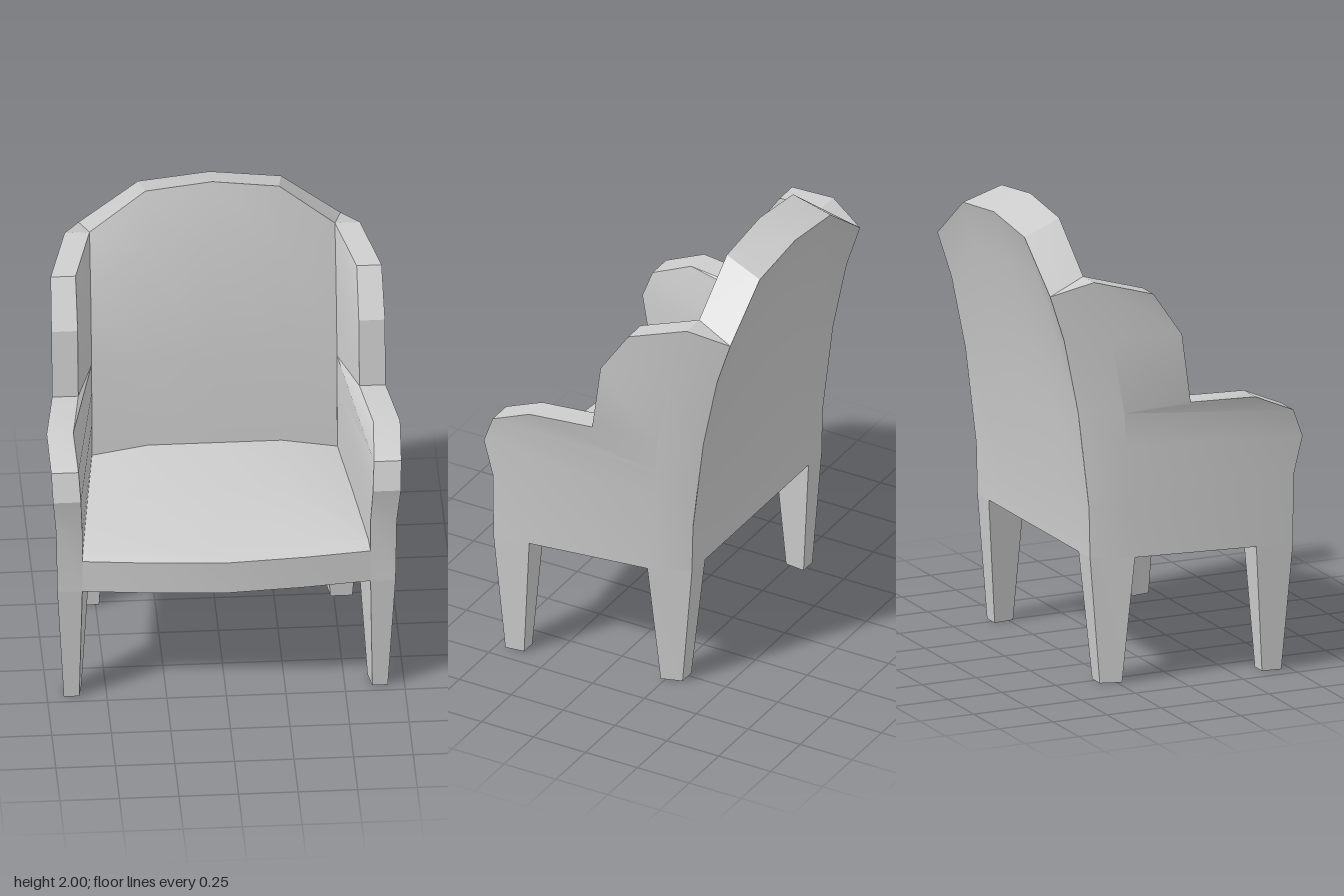
import * as THREE from 'three';
import { toCreasedNormals } from 'three/addons/utils/BufferGeometryUtils.js';

const material = new THREE.MeshStandardMaterial({ color: 0xcccccc });

// Skin a surface over rows of [x, y, z] points, skipping collapsed triangles
function skin(name, rows) {
  const pos = [];
  const tri = (...pts) => {
    const [a, b, c] = pts.map((p) => new THREE.Vector3(...p));
    if (b.clone().sub(a).cross(c.clone().sub(a)).length() > 1e-7) pos.push(...pts.flat());
  };
  for (let i = 0; i < rows.length - 1; i++) {
    for (let j = 0; j < rows[i].length - 1; j++) {
      const a = rows[i][j], b = rows[i][j + 1];
      const c = rows[i + 1][j + 1], d = rows[i + 1][j];
      tri(a, d, c);
      tri(a, c, b);
    }
  }
  const geometry = new THREE.BufferGeometry();
  geometry.setAttribute('position', new THREE.Float32BufferAttribute(pos, 3));
  const mesh = new THREE.Mesh(toCreasedNormals(geometry, 0.42), material);
  mesh.name = name;
  return mesh;
}

const reversed = (row) => [...row].reverse();
const mirrored = (rows) => rows.map((r) => reversed(r).map(([x, y, z]) => [-x, y, z]));

// Five points across the chair, left to right; y and z are given as [edge, quarter, centre]
const across = (half, y, z) => [1, 0.545, 0, -0.545, -1].map((u, i) => {
  const k = i < 3 ? i : 4 - i;
  return [half * u, y[k], z[k]];
});
const level = (v) => [v, v, v];
const domed = (v) => [v, v + 0.195, v + 0.23];

// Arm and wing: each row runs rear corner, outer side, front outer, front inner, inner corner
// [rear y, rear z, side x, side y, side z, front outer x, front inner x, front y, front z]
const sideRows = [
  [0.55, -0.365, 0.62, 0.55, -0.19, 0.71, 0.605, 0.55, 0.50],
  [0.77, -0.37, 0.63, 0.77, -0.23, 0.715, 0.605, 0.85, 0.50],
  [0.90, -0.385, 0.635, 0.90, -0.235, 0.73, 0.613, 1.02, 0.535],
  [1.05, -0.403, 0.64, 1.05, -0.243, 0.735, 0.62, 1.14, 0.49],
  [1.19, -0.42, 0.645, 1.19, -0.25, 0.742, 0.63, 1.22, 0.31],
  [1.19, -0.42, 0.645, 1.19, -0.25, 0.70, 0.59, 1.22, 0.03],
  [1.51, -0.485, 0.64, 1.52, -0.31, 0.70, 0.59, 1.52, -0.01],
  [1.71, -0.55, 0.62, 1.77, -0.38, 0.695, 0.59, 1.71, -0.14],
].map(([ry, rz, sx, sy, sz, fo, fi, fy, fz]) => [
  [0.55, ry, rz], [sx, sy, sz], [fo, fy, fz], [fi, fy, fz], [0.515, sy, Math.min(sz, -0.23)],
]);
sideRows.push(sideRows[7].map(() => [0.515, 1.77, -0.38])); // closes the wing top

// Tapered leg from four foot corners and four top corners, given as [x, z]
function legRows(foot, top) {
  const ring = (pts, y) => [...pts, pts[0]].map(([x, z]) => [x, y, z]);
  const cx = foot.reduce((s, p) => s + p[0], 0) / 4;
  const cz = foot.reduce((s, p) => s + p[1], 0) / 4;
  return [ring(foot.map(() => [cx, cz]), 0), ring(foot, 0), ring(top, 0.55)];
}
const frontLeg = legRows(
  [[0.67, 0.375], [0.68, 0.46], [0.615, 0.46], [0.60, 0.375]],
  [[0.689, 0.34], [0.71, 0.50], [0.605, 0.50], [0.565, 0.34]]);
const backLeg = legRows(
  [[0.55, -0.32], [0.578, -0.23], [0.485, -0.23], [0.475, -0.32]],
  [[0.55, -0.365], [0.62, -0.19], [0.458, -0.19], [0.438, -0.365]]);

export function createModel() {
  const chair = new THREE.Group();
  chair.name = 'wingChair';

  // Mirrored parts
  for (const [name, rows] of [['ArmAndWing', sideRows], ['FrontLeg', frontLeg], ['BackLeg', backLeg]]) {
    chair.add(skin('left' + name, rows), skin('right' + name, mirrored(rows)));
  }

  // Backrest with an arched top
  const backFront = [
    across(0.515, level(0.70), level(-0.23)),
    across(0.515, level(1.19), level(-0.25)),
    across(0.515, domed(1.52), level(-0.31)),
    across(0.515, domed(1.77), level(-0.38)),
  ];
  const backRear = [
    across(0.55, level(0.55), level(-0.365)),
    across(0.55, level(0.77), level(-0.37)),
    across(0.55, level(1.19), level(-0.42)),
    across(0.55, domed(1.51), level(-0.485)),
    across(0.55, domed(1.71), level(-0.55)),
  ].map(reversed);
  chair.add(
    skin('backrestFront', backFront),
    skin('backrestRear', backRear),
    skin('backrestTop', [backFront[3], reversed(backRear[4])]),
  );

  // Seat with a bowed front and a gently raised cushion
  const bow = [0.50, 0.53, 0.552];
  const seatEdge = across(0.605, level(0.70), bow);
  const apronBottom = across(0.605, level(0.55), bow);
  chair.add(
    skin('seatApron', [apronBottom, seatEdge]),
    skin('seatCushion', [
      seatEdge,
      across(0.60, [0.725, 0.73, 0.73], [0.45, 0.46, 0.465]),
      across(0.556, [0.745, 0.78, 0.78], level(0.1)),
      across(0.515, [0.75, 0.79, 0.79], level(-0.23)),
    ]),
  );

  // Underside, reaching out below the arms
  const under = (half, z) => [-1, -0.85, -0.46, 0, 0.46, 0.85, 1].map((u) => [half * u, 0.55, z]);
  const underFront = [[-0.71, 0.55, 0.50], ...reversed(apronBottom), [0.71, 0.55, 0.50]];
  chair.add(skin('underside', [underFront, under(0.62, -0.19), under(0.55, -0.365)]));

  return chair;
}
